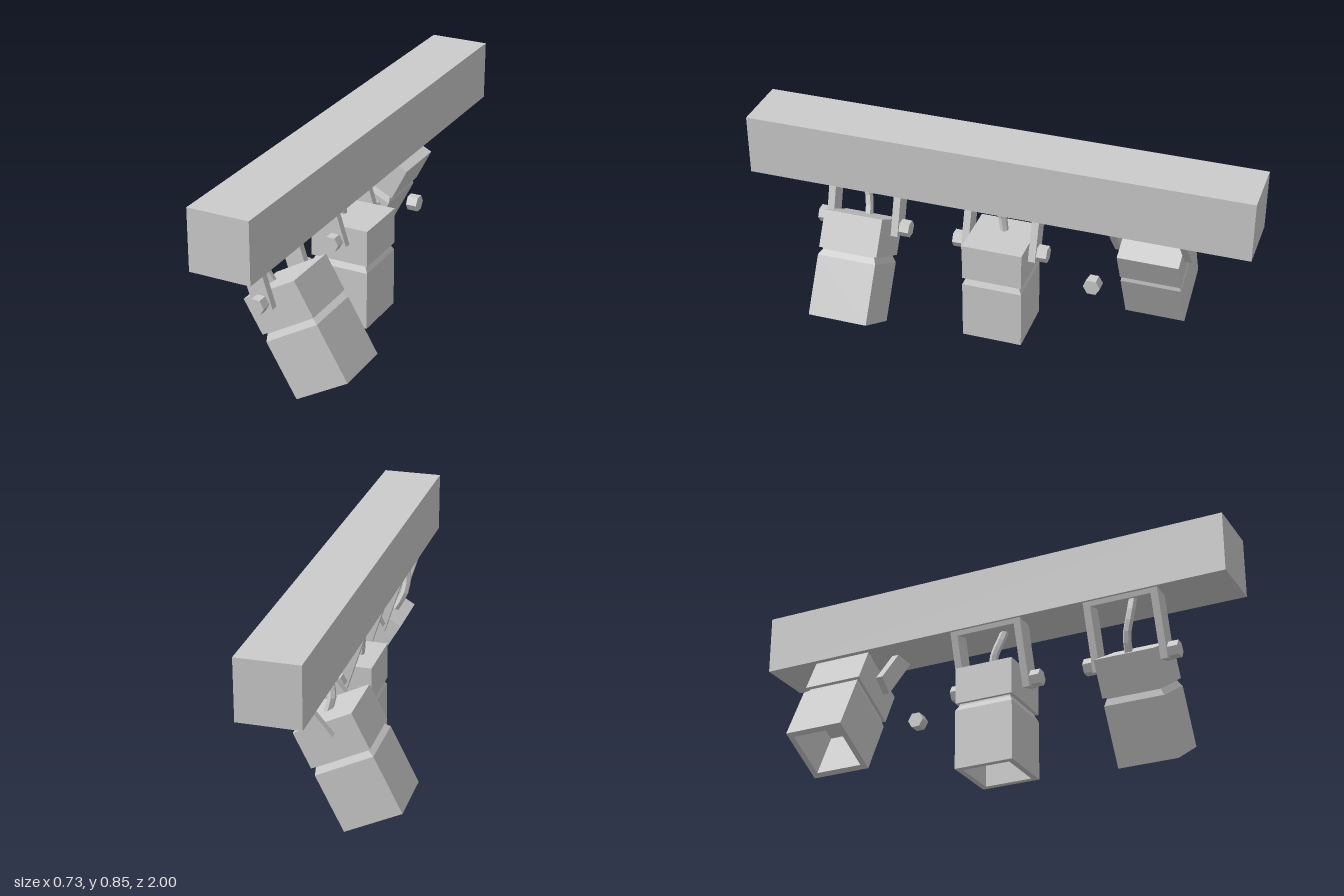
import * as THREE from 'three';

const material = new THREE.MeshStandardMaterial({ color: 0xcccccc, flatShading: true, side: THREE.DoubleSide });
const HALF = 0.1215; // half the width of the beam and of each lamp
const CENTRE_X = 0.031;

function part(name, geometry, parent) {
  const mesh = new THREE.Mesh(geometry, material);
  mesh.name = name;
  parent.add(mesh);
  return mesh;
}

// Square, hollow lamp head; its top centre is the origin and it hangs down
function lampHousing() {
  const profile = [
    [0, -0.22], [0.098, -0.22], [0.098, -0.422], [HALF, -0.422], [HALF, -0.18],
    [0.109, -0.156], [0.109, -0.15], [HALF, -0.15], [HALF, 0], [0, 0],
  ].map(([half, y]) => new THREE.Vector2(half * Math.SQRT2, y));
  return new THREE.LatheGeometry(profile, 4, Math.PI / 4);
}

// U-shaped bracket; the origin is the lower end of the arms
function addYoke(parent) {
  const yoke = new THREE.Group();
  yoke.name = 'yoke';
  for (const side of [-1, 1]) {
    part('yokeArm', new THREE.BoxGeometry(0.078, 0.28, 0.029), yoke).position.set(0, 0.14, side * 0.138);
  }
  part('yokeBridge', new THREE.BoxGeometry(0.078, 0.025, 0.25), yoke).position.y = 0.2675;
  parent.add(yoke);
  return yoke;
}

const hexKnob = () => new THREE.CylinderGeometry(0.034, 0.034, 0.045, 6);

// top: lamp top centre, arm: lower end of the bracket, cable: x, y, z points
const lamps = [
  { name: 'frontLamp', z: 0.572, top: [0.044, 0.427], tilt: 30.4, arm: [0.04, 0.357], armTilt: 17.6, knobs: true,
    cable: [[-0.005, 0.39, 0], [-0.04, 0.455, 0.01], [-0.05, 0.53, 0.03], [-0.03, 0.63, 0.04]] },
  { name: 'middleLamp', z: 0, top: [CENTRE_X, 0.437], tilt: 0, arm: [0.04, 0.357], armTilt: 17.6, knobs: true,
    cable: [[-0.01, 0.42, 0], [-0.015, 0.495, 0.01], [0, 0.56, 0.03], [0.03, 0.63, 0.04]] },
  { name: 'backLamp', z: -0.59, top: [-0.069, 0.491], tilt: -26.6, arm: [-0.087, 0.433], armTilt: -39.8, knobs: false,
    cable: [[-0.05, 0.46, 0], [-0.068, 0.535, 0.01], [-0.05, 0.59, 0.03], [0, 0.65, 0.04]] },
];

export function createModel() {
  const model = new THREE.Group();
  model.name = 'spotlightRail';

  // Ceiling beam
  part('beam', new THREE.BoxGeometry(HALF * 2, 0.243, 2), model).position.set(CENTRE_X, 0.7285, 0);

  for (const lamp of lamps) {
    const group = new THREE.Group();
    group.name = lamp.name;
    group.position.z = lamp.z;
    model.add(group);

    const housing = part('lampHousing', lampHousing(), group);
    housing.position.set(...lamp.top, 0);
    housing.rotation.z = THREE.MathUtils.degToRad(lamp.tilt);

    const yoke = addYoke(group);
    yoke.position.set(...lamp.arm, 0);
    yoke.rotation.z = THREE.MathUtils.degToRad(lamp.armTilt);

    // Bent supply cable from beam to lamp
    const path = new THREE.CatmullRomCurve3(lamp.cable.map((p) => new THREE.Vector3(...p)));
    part('cable', new THREE.TubeGeometry(path, 6, 0.017, 6), group);

    // Pivot knobs on the outside of the arms
    if (lamp.knobs) {
      for (const side of [-1, 1]) {
        const geometry = hexKnob().rotateY(Math.PI / 2).rotateX(Math.PI / 2);
        part('pivotKnob', geometry, group).position.set(CENTRE_X, 0.387, side * 0.171);
      }
    }
  }

  // Single detached knob beside the back lamp, turned sideways
  part('looseKnob', hexKnob().rotateZ(Math.PI / 2), model).position.set(0.11, 0.342, -0.397);

  return model;
}
